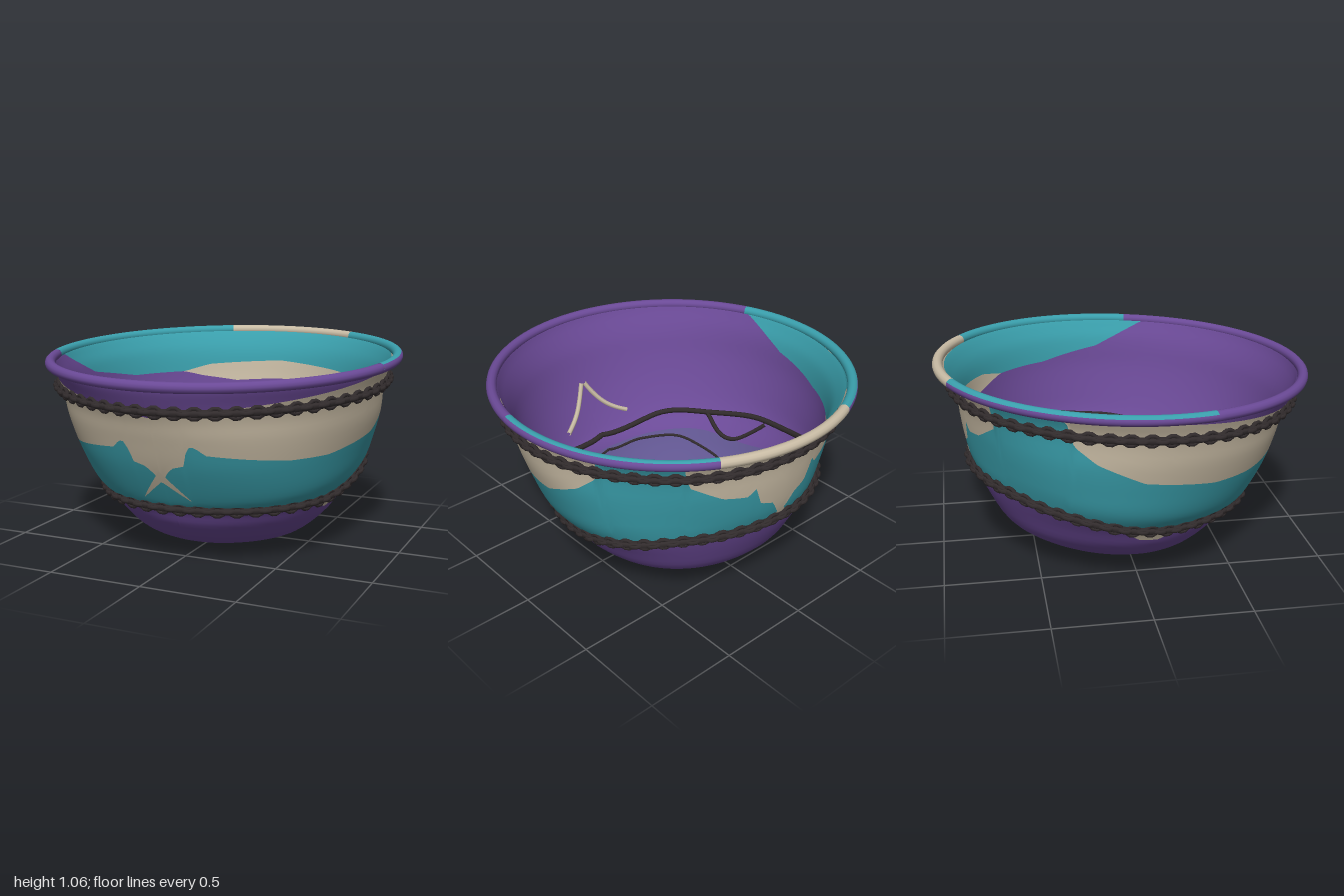
import * as THREE from 'three';
import { mergeGeometries } from 'three/addons/utils/BufferGeometryUtils.js';

const paint = (name, color) => Object.assign(new THREE.MeshStandardMaterial({ color, side: THREE.DoubleSide }), { name });

// Bowl cross-sections, base to lip: [half width, front z, back z, front y, back y]
const SECTIONS = [
  [0.002, 0.002, -0.002, 0.005, 0.005], [0.25, 0.22, -0.28, 0.008, 0.022], [0.44, 0.43, -0.44, 0.07, 0.065],
  [0.58, 0.56, -0.64, 0.18, 0.18], [0.66, 0.62, -0.74, 0.27, 0.34], [0.75, 0.69, -0.81, 0.34, 0.52],
  [0.8, 0.79, -0.84, 0.52, 0.62], [0.84, 0.85, -0.865, 0.68, 0.75], [0.855, 0.88, -0.88, 0.78, 0.86],
  [0.87, 0.915, -0.9, 0.86, 0.93], [0.895, 0.945, -0.93, 0.925, 0.99], [0.91, 0.955, -0.955, 0.96, 1.03],
];
const LAST = SECTIONS.length - 1;

// Smoothly interpolated section; the inner wall is pulled in and lifted
function section(t, inner) {
  const s = t * LAST, i = Math.min(Math.floor(s), LAST - 1), f = s - i;
  const at = (k) => SECTIONS[Math.max(0, Math.min(LAST, k))];
  const [w, zf, zb, yf, yb] = at(i).map((p1, k) => {
    const p0 = at(i - 1)[k], p2 = at(i + 1)[k], p3 = at(i + 2)[k];
    return p1 + 0.5 * f * (p2 - p0 + f * (2 * p0 - 5 * p1 + 4 * p2 - p3 + f * (3 * (p1 - p2) + p3 - p0)));
  });
  const k = inner ? 0.945 + 0.035 * t : 1, lift = inner ? 0.04 * (1 - t) : 0;
  return { rx: w * k, rz: ((zf - zb) / 2) * k, cz: (zf + zb) / 2, y: (yf + yb) / 2 + lift, tilt: (yf - yb) / 2 };
}
function wall(a, t, inner, push = 0) {
  const s = section(t, inner), c = Math.cos(a);
  const bump = push + 0.006 * Math.sin(5 * a + 9 * t) * Math.sin(Math.PI * t) * (inner ? 0 : 1);
  return new THREE.Vector3((s.rx + bump) * Math.sin(a), s.y + s.tilt * c, s.cz + (s.rz + bump) * c);
}
function bisect(test) {
  let lo = 0, hi = 1;
  for (let i = 0; i < 22; i++) {
    const m = (lo + hi) / 2;
    if (test(m)) lo = m; else hi = m;
  }
  return (lo + hi) / 2;
}
const tAtHeight = (a, y, inner) => bisect((t) => {
  const s = section(t, inner);
  return s.y + s.tilt * Math.cos(a) < y;
});
// Drops a plan point onto the inside of the bowl
function drop(x, z, lift) {
  const t = bisect((m) => {
    const s = section(m, true);
    return (x / s.rx) ** 2 + ((z - s.cz) / s.rz) ** 2 > 1;
  });
  const s = section(t, true);
  return new THREE.Vector3(x, s.y + s.tilt * (z - s.cz) / s.rz + lift, z);
}
// Height against angle from the front, mirrored left and right
const edge = (...pts) => (a) => {
  const b = Math.acos(Math.cos(a));
  const i = Math.max(1, pts.findIndex((p) => p[0] >= b));
  const [p, q] = [pts[i - 1], pts[i]];
  return p[1] + (q[1] - p[1]) * Math.min(1, (b - p[0]) / (q[0] - p[0]));
};

function grid(f, ni, nj, flip) {
  const pos = [], idx = [], row = nj + 1;
  for (let i = 0; i <= ni; i++) for (let j = 0; j <= nj; j++) pos.push(...f(i / ni, j / nj).toArray());
  for (let i = 0; i < ni; i++) for (let j = 0; j < nj; j++) {
    const a = i * row + j, b = a + row;
    if (flip) idx.push(a, b + 1, b, a, a + 1, b + 1);
    else idx.push(a, b, b + 1, a, b + 1, a + 1);
  }
  const g = new THREE.BufferGeometry();
  g.setAttribute('position', new THREE.Float32BufferAttribute(pos, 3));
  g.setIndex(idx);
  g.computeVertexNormals();
  return g;
}

export function createModel() {
  const bowl = new THREE.Group();
  bowl.name = 'bowl';
  const purple = paint('purple', 0x6b4a97), teal = paint('teal', 0x3a9fac), cream = paint('cream', 0xc9bca5);
  const dark = paint('dark chain', 0x322c2d), grey = paint('grey', 0x72706f), slate = paint('slate violet', 0x60558f);
  const add = (name, geo, mat) => {
    const m = new THREE.Mesh(geo, mat);
    m.name = name;
    bowl.add(m);
    return m;
  };
  // Wall strip between two height curves
  const band = (name, mat, low, high, { inner = false, from = 0, to = Math.PI * 2, ni = 260, nj = 12, push = 0 } = {}) =>
    add(name, grid((u, v) => {
      const a = from + (to - from) * u;
      const t0 = tAtHeight(a, low(a), inner), t1 = Math.max(t0, tAtHeight(a, high(a), inner));
      return wall(a, t0 + (t1 - t0) * v, inner, push);
    }, ni, nj, inner), mat);
  const base = () => -1, top = () => 2;

  // Outside colours
  const lowerLine = edge([0, 0.3], [1.25, 0.3], [1.57, 0.34], [1.95, 0.42], [2.4, 0.49], [3.15, 0.52]);
  const upperLine = (a) => 0.882 - 0.047 * Math.cos(a);
  const drip = edge([0, 0.45], [0.04, 0.5], [0.09, 0.54], [0.18, 0.56], [0.2, 0.66], [0.25, 0.66], [0.31, 0.62],
    [0.55, 0.6], [0.8, 0.58], [1.1, 0.58], [1.57, 0.64], [1.85, 0.75], [1.98, 0.84], [2.06, 1.2], [2.42, 1.2],
    [2.5, 0.85], [2.7, 0.76], [2.85, 0.74], [2.9, 0.78], [2.95, 0.67], [3.05, 0.64], [3.1, 0.57], [3.15, 0.52]);
  const collarLine = edge([0, 0.8], [0.5, 0.86], [0.9, 0.9], [1.4, 0.955], [1.75, 1.2], [3.15, 1.2]);
  const collar = (a) => Math.max(collarLine(a), drip(a));
  band('lowerBowl', purple, base, lowerLine, { nj: 20 });
  band('middleBand', teal, lowerLine, drip);
  band('drippingBand', cream, drip, collar);
  band('collar', purple, collar, top);
  for (const s of [-1, 1]) {
    const side = (a, b) => (s > 0 ? { from: a, to: b } : { from: -b, to: -a });
    band('sidePatch', cream, edge([0, 0.3], [1.15, 0.29], [1.35, 0.235], [1.5, 0.25], [1.65, 0.33], [3.15, 0.4]),
      lowerLine, { ...side(1.15, 1.62), ni: 16, nj: 3, push: 0.005 });
    band('dripLeg', cream, (a) => 0.46 - 0.62 * Math.abs(a), (a) => 0.52 - 0.95 * Math.abs(a),
      { ...side(0, 0.17), ni: 8, nj: 3, push: 0.005 });
    band('backDripLeg', cream, (a) => 0.5, (a) => 0.58 - 0.7 * (Math.PI - Math.abs(a)),
      { ...side(3.03, Math.PI), ni: 6, nj: 3, push: 0.005 });
  }

  // Inside colours
  const innerLow = edge([0, 2], [1.25, 2], [1.3, 0.98], [1.6, 0.85], [2, 0.79], [2.4, 0.79], [2.55, 0.76], [2.8, 0.73], [3.15, 0.75]);
  const innerHigh = edge([0, 2], [1.25, 2], [1.3, 0.98], [1.6, 0.85], [2, 0.79], [2.4, 0.79], [2.6, 0.83], [3.15, 0.86]);
  band('innerWall', purple, base, innerLow, { inner: true, nj: 24 });
  band('innerDrip', cream, innerLow, innerHigh, { inner: true, nj: 5 });
  band('innerUpperWall', teal, innerHigh, top, { inner: true });

  // Rolled rim: a = angle round the bowl, p = angle round the roll
  const rim = (name, mat, a0, a1, p0, p1) => add(name, grid((u, v) => {
    const a = a0 + (a1 - a0) * u, p = p0 + (p1 - p0) * v, r = 0.027 * Math.cos(p);
    return new THREE.Vector3((0.925 + r) * Math.sin(a), 1 - 0.036 * Math.cos(a) + 0.027 * Math.sin(p), (0.97 + r) * Math.cos(a));
  }, 70, 12), mat);
  const P0 = -Math.PI / 2, P1 = Math.PI * 1.5;
  rim('frontRim', purple, -1.25, 1.4, P0, P1);
  rim('backRim', cream, 2.63, 3.52, P0, P1);
  rim('leftRimOuter', purple, 1.4, 2.63, P0, 0.9);
  rim('leftRimInner', teal, 1.4, 2.63, 0.9, P1);
  rim('rightRimOuter', purple, 3.52, Math.PI * 2 - 1.25, P0, 0.5);
  rim('rightRimInner', teal, 3.52, Math.PI * 2 - 1.25, 0.5, P1);

  // Chains round the outside, links turned alternately
  const chain = (name, height, count) => {
    const pts = [];
    for (let i = 0; i < 72; i++) {
      const a = (i / 72) * Math.PI * 2;
      pts.push(wall(a, tAtHeight(a, height(a), false), false, 0.016));
    }
    const curve = new THREE.CatmullRomCurve3(pts, true);
    const links = [new THREE.TubeGeometry(curve, 160, 0.02, 6, true)];
    for (let i = 0; i < count; i++) {
      const p = curve.getPointAt(i / count), tan = curve.getTangentAt(i / count);
      const out = new THREE.Vector3(p.x, 0, p.z).addScaledVector(tan, -p.dot(tan)).normalize();
      const up = new THREE.Vector3().crossVectors(out, tan).normalize();
      out.crossVectors(tan, up);
      const link = new THREE.TorusGeometry(0.025, 0.011, 6, 10);
      link.scale(1.25, i % 2 ? 1 : 0.85, 1);
      const m = i % 2 ? new THREE.Matrix4().makeBasis(tan, up, out) : new THREE.Matrix4().makeBasis(tan, out, up.negate());
      links.push(link.applyMatrix4(m.setPosition(p)));
    }
    add(name, mergeGeometries(links), dark);
  };
  chain('upperChain', upperLine, 116);
  chain('lowerChain', lowerLine, 96);

  // Floor panels, smooth closed outlines laid on the inside; half outline given, back to front
  const panel = (name, mat, half, cz, lift) => {
    const pts = [...half, ...half.slice(1, -1).reverse().map(([x, z]) => [-x, z])];
    const c = new THREE.CatmullRomCurve3(pts.map(([x, z]) => new THREE.Vector3(x, 0, z)), true);
    add(name, grid((u, v) => {
      const p = c.getPoint(u % 1);
      return drop(p.x * v, cz + (p.z - cz) * v, lift);
    }, 80, 24, true), mat);
  };
  const loop = [[0, -0.77], [0.38, -0.69], [0.63, -0.42], [0.71, 0], [0.6, 0.31], [0.4, 0.53], [0, 0.62]];
  const egg = [[0, -0.76], [0.25, -0.62], [0.38, -0.3], [0.3, 0], [0.12, 0.2], [0, 0.24]];
  panel('violetFloor', slate, [[0, -0.7], [0.3, -0.68], [0.58, -0.45], [0.62, -0.1], [0.52, 0.3], [0.3, 0.5], [0, 0.57]], -0.05, 0.005);
  panel('greyFloor', grey, [[0, -0.75], [0.26, -0.64], [0.44, -0.42], [0.53, -0.15], [0.5, 0.01], [0.3, 0.07], [0.12, 0.19], [0, 0.23]], -0.25, 0.011);

  // Fine dark lines laid over the inside
  const line = (name, pts, r, mat = dark) => {
    for (const s of [-1, 1]) {
      const plan = new THREE.CatmullRomCurve3(pts.map(([x, z]) => new THREE.Vector3(s * x, 0, z)));
      const path = plan.getPoints(40).map((p) => drop(p.x, p.z, 0.012));
      add(name, new THREE.TubeGeometry(new THREE.CatmullRomCurve3(path), 60, r, 6), mat);
    }
  };
  line('innerLoop', loop, 0.016);
  line('innerEgg', egg, 0.016);
  line('innerVee', [[0.36, -0.67], [0.18, -0.5], [0.06, -0.36], [0, -0.34]], 0.015);
  line('innerLobe', [[0.36, -0.67], [0.55, -0.52], [0.62, -0.3], [0.55, -0.08], [0.4, 0.04], [0.3, 0.08]], 0.015);
  line('innerSeam', [[0.48, 0.02], [0.5, 0.15], [0.42, 0.38], [0.22, 0.52], [0, 0.56]], 0.008);
  line('innerBranch', [[0.7, -0.06], [0.6, 0.08], [0.57, 0.2], [0.59, 0.32]], 0.013);
  line('frontStreak', [[0.22, 0.65], [0.1, 0.72], [0.01, 0.79]], 0.014, cream);
  return bowl;
}
